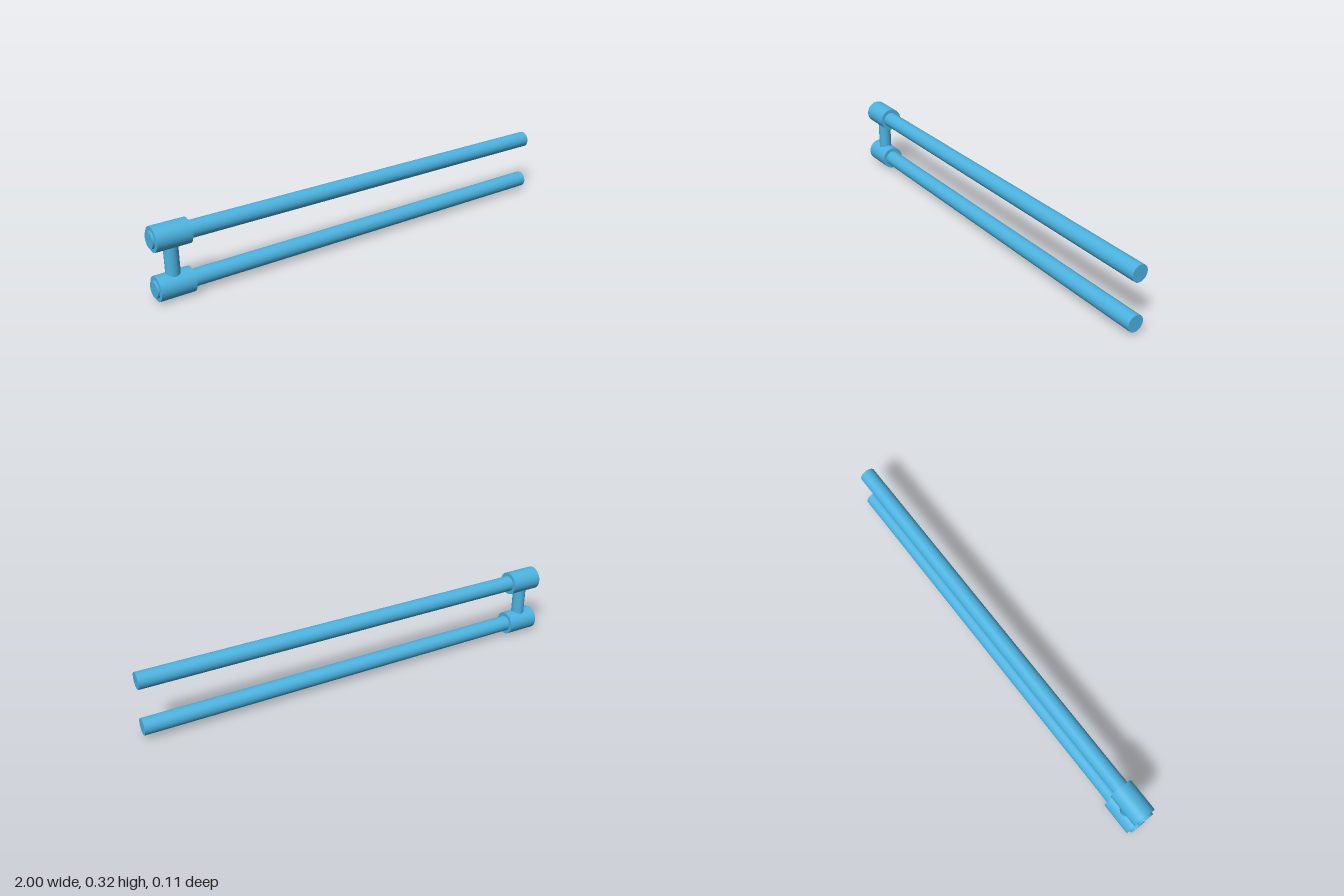
import * as THREE from 'three';

const SEGMENTS = 48;
const ROD_HEIGHTS = { lower: 0.054, upper: 0.268 };
const SLEEVE_X = -0.915;

export function createModel() {
  const group = new THREE.Group();
  const material = new THREE.MeshStandardMaterial({ color: 0x4bb3e0 });

  const addCylinder = (name, radius, length, x, y, alongX) => {
    const geometry = new THREE.CylinderGeometry(radius, radius, length, SEGMENTS);
    if (alongX) geometry.rotateZ(-Math.PI / 2);
    const mesh = new THREE.Mesh(geometry, material);
    mesh.name = name;
    mesh.position.set(x, y, 0);
    group.add(mesh);
  };

  // Two parallel rods, each passing through a sleeve near one end
  for (const [side, y] of Object.entries(ROD_HEIGHTS)) {
    addCylinder(side + 'Rod', 0.0365, 2, 0, y, true);
    addCylinder(side + 'Sleeve', 0.0535, 0.15, SLEEVE_X, y, true);
  }

  // Short upright post joining the sleeves, ends buried inside them
  const { lower, upper } = ROD_HEIGHTS;
  addCylinder('connectingPost', 0.03, upper - lower, SLEEVE_X, (lower + upper) / 2, false);

  return group;
}
